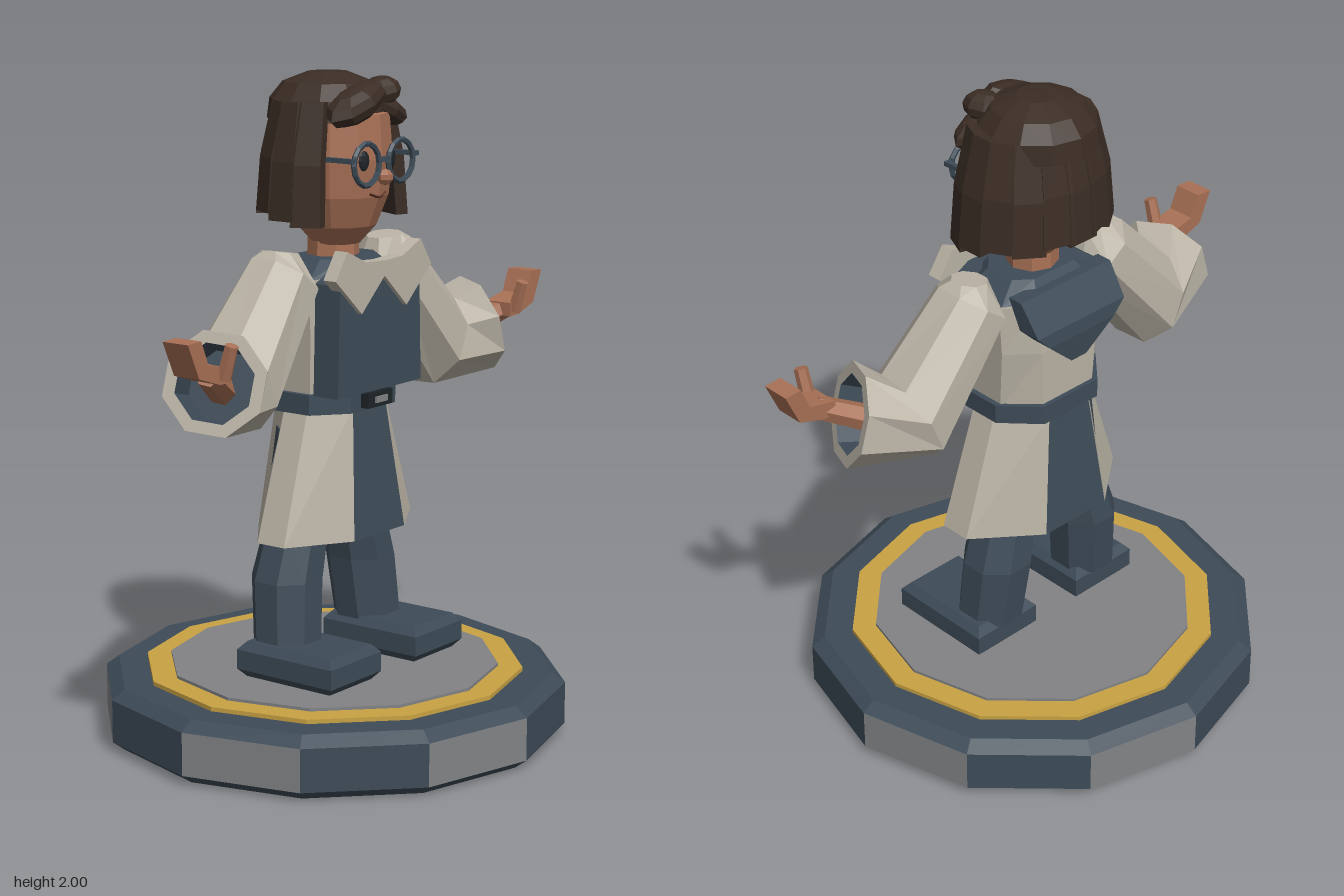
import * as THREE from 'three';

const mat = (name, color, side = THREE.FrontSide) =>
  Object.assign(new THREE.MeshStandardMaterial({ color, side }), { name });
const V = (x, y, z) => new THREE.Vector3(x, y, z);

// Faceted normals for any geometry
function flat(geo) {
  const g = geo.index ? geo.toNonIndexed() : geo;
  g.computeVertexNormals();
  return g;
}

// Mirrored copy across x = 0, with the winding put right
function mirrored(geo) {
  const g = flat(geo.clone());
  const p = g.attributes.position;
  for (let i = 0; i < p.count; i += 3) {
    const t = [0, 1, 2].map(k => V().fromBufferAttribute(p, i + k));
    [t[2], t[1], t[0]].forEach((v, k) => p.setXYZ(i + k, -v.x, v.y, v.z));
  }
  g.computeVertexNormals();
  return g;
}

// Ring of n points about a centre, counter-clockwise round the normal
function ring(c, normal, r, n = 8, r2 = r) {
  const w = normal.clone().normalize();
  const u = V().crossVectors(w, V(0, 0, 1)).normalize(), v = V().crossVectors(w, u);
  return Array.from({ length: n }, (_, i) => {
    const a = (i + 0.5) / n * Math.PI * 2;
    return c.clone().addScaledVector(u, r * Math.cos(a)).addScaledVector(v, r2 * Math.sin(a));
  });
}

// Skin between cross-sections, optionally closed at the start and end
function loft(rings, capStart = true, capEnd = true) {
  const pts = [], n = rings[0].length;
  for (let i = 0; i + 1 < rings.length; i++) for (let j = 0; j < n; j++) {
    const k = (j + 1) % n, [a, b] = [rings[i], rings[i + 1]];
    pts.push(a[j], a[k], b[k], a[j], b[k], b[j]);
  }
  const cap = (r, flip) => {
    const c = r.reduce((s, p) => s.add(p), V(0, 0, 0)).divideScalar(n);
    r.forEach((p, j) => pts.push(c, ...(flip ? [r[(j + 1) % n], p] : [p, r[(j + 1) % n]])));
  };
  if (capStart) cap(rings[0], true);
  if (capEnd) cap(rings[rings.length - 1], false);
  return flat(new THREE.BufferGeometry().setFromPoints(pts));
}

// Eight-cornered body section: front/back half-width a, side half-width b
const section = (y, a, b, zf, s1, s2, zb) => [
  V(-a, y, zf), V(a, y, zf), V(b, y, s1), V(b, y, s2),
  V(a, y, zb), V(-a, y, zb), V(-b, y, s2), V(-b, y, s1)];

function plate(points, depth, z) {
  const s = new THREE.Shape(points.map(p => new THREE.Vector2(...p)));
  return flat(new THREE.ExtrudeGeometry(s, { depth, bevelEnabled: false }).translate(0, 0, z));
}

export function createModel() {
  const model = new THREE.Group();
  const slate = mat('slate', 0x3d4b57), grey = mat('grey', 0x828386), gold = mat('gold', 0xc9a243);
  const coat = mat('coat', 0xbab3a5, THREE.DoubleSide), lining = mat('lining', 0x3d4b57, THREE.DoubleSide);
  const skin = mat('skin', 0xa87055), hair = mat('hair', 0x3b2d25, THREE.DoubleSide);
  const black = mat('black', 0x1e2428), lip = mat('lip', 0x5a3426);
  const add = (name, geo, m, parent = model) => {
    const mesh = new THREE.Mesh(flat(geo), m);
    mesh.name = name;
    parent.add(mesh);
    return mesh;
  };
  const pair = (name, geo, m, parent) => {
    add(name + 'Left', geo, m, parent);
    add(name + 'Right', mirrored(geo), m, parent);
  };
  const disc = (r1, r2, y0, y1, open = false) =>
    new THREE.CylinderGeometry(r2, r1, y1 - y0, 12, 1, open).translate(0, (y0 + y1) / 2, 0);
  const box = (w, h, d, x, y, z) => new THREE.BoxGeometry(w, h, d).translate(x, y, z);

  // Stand with alternating side panels
  add('standBottom', disc(0.67, 0.71, 0, 0.03), slate);
  add('standTop', disc(0.71, 0.67, 0.16, 0.19), slate);
  const sides = flat(disc(0.71, 0.71, 0.03, 0.16, true));
  sides.clearGroups();
  for (let i = 0; i < 12; i++) sides.addGroup(i * 6, 6, i % 2);
  add('standPanels', sides, [slate, grey]);
  add('standRing', disc(0.58, 0.58, 0.19, 0.203), gold);
  add('standFloor', disc(0.505, 0.505, 0.19, 0.212), grey);

  // Shoes and trousers
  const sole = new THREE.Shape([[-0.1, -0.155], [0.1, -0.155], [0.1, 0.155], [-0.1, 0.155]]
    .map(p => new THREE.Vector2(...p)));
  const shoe = new THREE.ExtrudeGeometry(sole,
    { depth: 0.06, bevelEnabled: true, bevelSegments: 1, bevelSize: 0.022, bevelThickness: 0.025 });
  pair('shoe', shoe.rotateX(-Math.PI / 2).translate(0.21, 0.236, 0.07), slate);
  const up = V(0, 1, 0);
  pair('leg', loft([ring(V(0.2, 0.3, -0.02), up, 0.105), ring(V(0.182, 0.5, -0.035), up, 0.11),
    ring(V(0.145, 0.64, -0.03), up, 0.1), ring(V(0.11, 0.95, -0.02), up, 0.09)]), slate);

  // Coat skirt with dark front and back panels
  const skirt = loft([section(0.63, 0.125, 0.315, 0.175, 0.06, -0.04, -0.19),
    section(1.02, 0.08, 0.19, 0.135, 0.05, -0.035, -0.155)], false, false);
  for (let j = 0; j < 8; j++) skirt.addGroup(j * 6, 6, j % 4 === 0 ? 1 : 0);
  add('skirt', skirt, [coat, lining]);

  // Upper body, belt and buckle
  add('torso', loft([section(1.05, 0.1, 0.19, 0.12, 0.06, -0.06, -0.15),
    section(1.25, 0.11, 0.2, 0.12, 0.07, -0.08, -0.155),
    section(1.41, 0.12, 0.21, 0.12, 0.07, -0.08, -0.145)]), coat);
  add('yoke', loft([section(1.41, 0.11, 0.2, 0.13, 0.07, -0.08, -0.135),
    section(1.46, 0.08, 0.13, 0.1, 0.05, -0.05, -0.09)]), slate);
  add('vest', plate([[-0.205, 1.07], [0.205, 1.07], [0.195, 1.4], [0.12, 1.44], [-0.12, 1.44], [-0.195, 1.4]],
    0.09, 0.085), slate);
  add('belt', loft([1.01, 1.07].map(y => section(y, 0.11, 0.208, 0.15, 0.07, -0.06, -0.165))), slate);
  add('buckle', box(0.12, 0.045, 0.03, 0, 1.042, 0.162), black);
  add('buckleCentre', box(0.055, 0.018, 0.008, 0, 1.042, 0.18), grey);

  // Collar flaps and the folded hood at the back
  pair('collar', plate([[0, 1.41], [0.11, 1.31], [0.235, 1.42], [0.18, 1.5], [0.09, 1.46], [0, 1.455]],
    0.045, 0.145), coat);
  const hoodRow = (y, w, z0, z1) => [V(-w, y, z1), V(w, y, z1), V(w, y, z0), V(-w, y, z0)];
  add('hood', loft([hoodRow(1.21, 0.03, -0.195, -0.15), hoodRow(1.3, 0.13, -0.208, -0.14),
    hoodRow(1.345, 0.175, -0.205, -0.13), hoodRow(1.44, 0.18, -0.14, -0.09)]), slate);

  // Wide sleeves with hollow cuffs
  const cuffC = V(0.645, 1.175, 0.08), cuffN = V(0.88, 0.27, 0.4);
  const deep = cuffC.clone().addScaledVector(cuffN, -0.1);
  const lip1 = ring(cuffC, cuffN, 0.155), lip2 = ring(cuffC, cuffN, 0.118);
  pair('sleeve', loft([ring(V(0.25, 1.492, 0), V(0.15, -1, 0), 0.055),
    ring(V(0.243, 1.415, 0), V(0.6, -0.8, 0), 0.115),
    ring(V(0.485, 1.135, 0.01), V(0.93, -0.38, 0.1), 0.15), lip1, lip2], true, false), coat);
  pair('cuffLining', loft([lip2, ring(deep, cuffN, 0.105)], false, true), lining);

  // Forearms and upturned hands
  const arm = V(0.19, 0.09, 0.11);
  pair('forearm', loft([ring(V(0.55, 1.13, 0.03), arm, 0.042, 6), ring(V(0.73, 1.218, 0.128), arm, 0.035, 6)]), skin);
  pair('hand', plate([[0.69, 1.195], [0.735, 1.197], [0.82, 1.225], [0.865, 1.325], [0.81, 1.328],
    [0.78, 1.258], [0.69, 1.238]], 0.09, 0.085), skin);
  const thumb = new THREE.CylinderGeometry(0.02, 0.023, 0.1, 6).rotateX(0.3).translate(0.715, 1.258, 0.188);
  pair('thumb', thumb, skin);

  // Neck and head
  add('neck', new THREE.CylinderGeometry(0.075, 0.08, 0.14, 8).translate(0, 1.48, 0), skin);
  const profile = [[0, 1.49], [0.07, 1.495], [0.118, 1.55], [0.153, 1.64], [0.165, 1.75], [0.155, 1.88], [0, 1.93]]
    .map(p => new THREE.Vector2(...p));
  add('head', new THREE.LatheGeometry(profile, 12).scale(1, 1, 1.03).translate(0, 0, 0.01), skin);
  add('nose', new THREE.SphereGeometry(0.024, 6, 5).translate(0, 1.7, 0.19), skin);
  const smile = new THREE.CatmullRomCurve3([V(-0.04, 1.652, 0.163), V(0, 1.64, 0.17), V(0.04, 1.652, 0.163)]);
  add('mouth', new THREE.TubeGeometry(smile, 6, 0.004, 4), lip);
  pair('eye', new THREE.SphereGeometry(1, 8, 6).scale(0.02, 0.03, 0.008).rotateY(0.26).translate(0.068, 1.75, 0.164), black);

  // Round glasses
  pair('glassesRim', new THREE.TorusGeometry(0.061, 0.009, 5, 14).translate(0.083, 1.742, 0.185), slate);
  pair('glassesTemple', box(0.014, 0.014, 0.13, 0.155, 1.757, 0.125), slate);
  pair('glassesHinge', box(0.025, 0.014, 0.014, 0.152, 1.757, 0.185), slate);
  add('glassesBridge', box(0.044, 0.014, 0.014, 0, 1.752, 0.186), slate);

  // Hair: crown, hanging shell, strands and front swoops
  const hairGroup = new THREE.Group();
  hairGroup.name = 'hair';
  model.add(hairGroup);
  const lathe = (pts, n, start, len) =>
    new THREE.LatheGeometry(pts.map(p => new THREE.Vector2(...p)), n, start, len);
  add('crown', lathe([[0.15, 1.85], [0.182, 1.86], [0.174, 1.92], [0.135, 1.968], [0.06, 1.997], [0, 2]], 12)
    .translate(0, 0, -0.02), hair, hairGroup);
  const a0 = 1.2;
  add('shell', lathe([[0.165, 1.9], [0.165, 1.75], [0.19, 1.62], [0.225, 1.62], [0.21, 1.77], [0.182, 1.9]],
    10, a0, Math.PI * 2 - a0 * 2).scale(1, 1, 0.87), hair, hairGroup);
  const strand = (angle, bottom) => {
    const top = 1.92, rows = [0, 0.5, 1].map(t => {
      const y = bottom + (top - bottom) * t, r = 0.228 - 0.055 * t * t, w = 0.052 - 0.008 * t, d = 0.022;
      return [V(-w, y, r + d), V(w, y, r + d), V(w, y, r - d), V(-w, y, r - d)];
    });
    return loft(rows).rotateY(angle).scale(1, 1, 0.84);
  };
  [[1.2, 1.565], [1.58, 1.58], [2.0, 1.6], [2.42, 1.59], [2.8, 1.61]].forEach(([a, y], i) =>
    pair('strand' + (i + 1), strand(a, y), hair, hairGroup));
  add('backStrand', strand(Math.PI, 1.6), hair, hairGroup);
  const swoop = (name, sx, sy, sz, tilt, x, y, z) =>
    add(name, new THREE.SphereGeometry(1, 8, 6).scale(sx, sy, sz).rotateZ(tilt).translate(x, y, z), hair, hairGroup);
  swoop('largeSwoop', 0.125, 0.05, 0.07, 0.38, -0.06, 1.912, 0.128);
  swoop('smallSwoop', 0.06, 0.045, 0.06, 0.2, 0.08, 1.94, 0.115);
  swoop('sideFringe', 0.095, 0.038, 0.05, -0.4, 0.1, 1.885, 0.115);
  return model;
}
